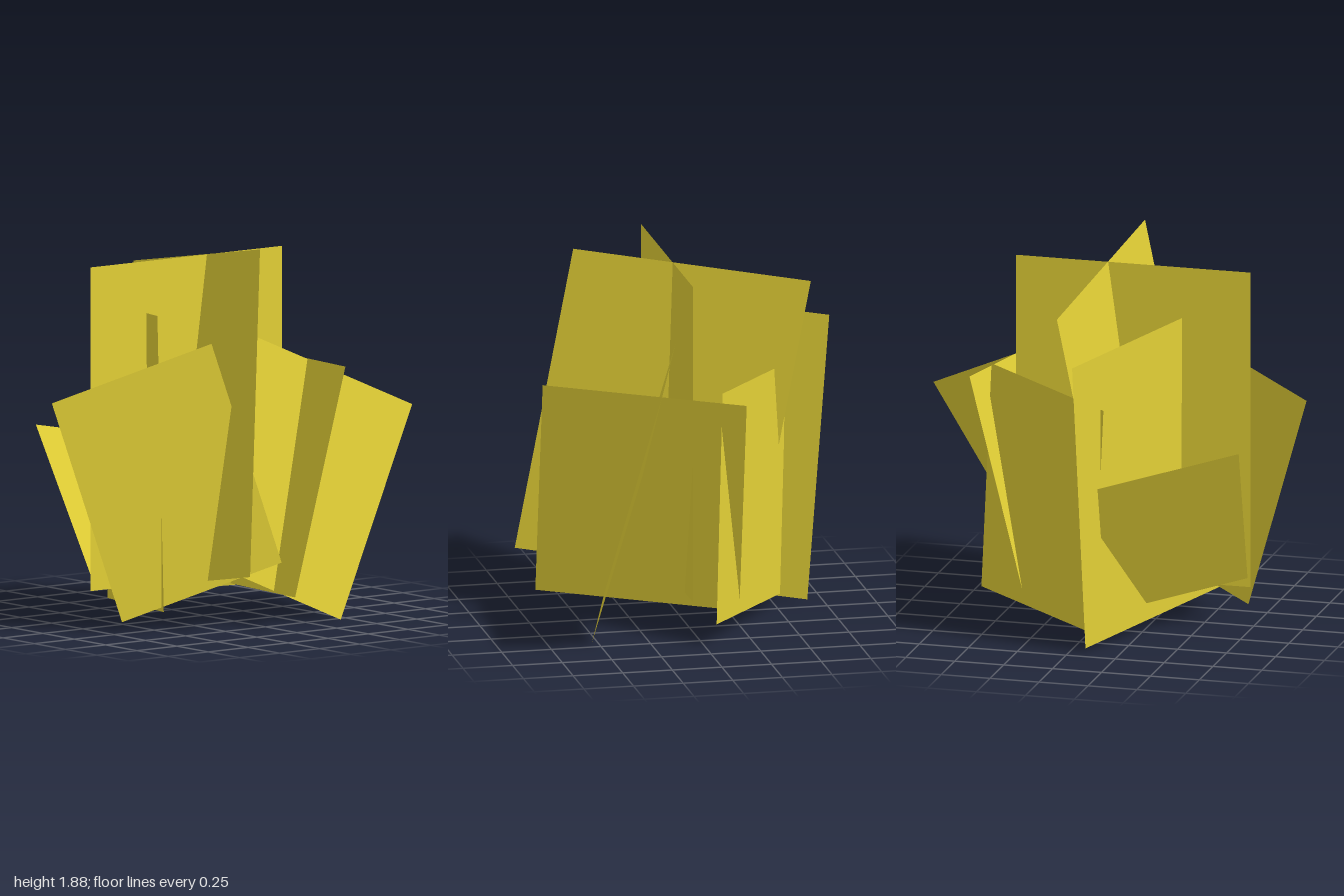
import * as THREE from 'three';

const leafYellow = new THREE.MeshStandardMaterial({ color: 0xe3d036, side: THREE.DoubleSide });
leafYellow.name = 'leafYellow';

// Flat card spanned from its lower corner by a width vector and a height vector
function card(name, corner, width, height) {
  const u = new THREE.Vector3(...width);
  const v = new THREE.Vector3(...height);
  const n = new THREE.Vector3().crossVectors(u, v).normalize();
  const geometry = new THREE.PlaneGeometry(1, 1).translate(0.5, 0.5, 0);
  geometry.applyMatrix4(new THREE.Matrix4().makeBasis(u, v, n).setPosition(...corner));
  const mesh = new THREE.Mesh(geometry, leafYellow);
  mesh.name = name;
  return mesh;
}

export function createModel() {
  const group = new THREE.Group();
  group.name = 'leafClump';

  // Two tall cards crossing in the middle
  group.add(card('tallCentreLeaf', [-0.725, 0.195, 0.03], [1.198, 0, 0], [0, 1.61, 0]));
  group.add(card('tallCrossLeaf', [-0.3, 0.31, 0.76], [0.125, -0.2, -1.17], [0.25, 1.58, -0.24]));

  // Leaning cards around them
  group.add(card('rightFrontLeaf', [-0.666, 0.055, 0.205], [0.76, 0.263, 0.304], [-0.334, 1.103, -0.1336]));
  group.add(card('leftFrontLeaf', [-0.407, 0.428, 0.183], [0.85, -0.422, 0.352], [0.554, 1.007, -0.137]));
  group.add(card('leftSideLeaf', [0.01, 0.177, 0.724], [0.343, -0.07, -0.953], [0.293, 1.125, 0.027]));
  group.add(card('leftBackLeaf', [-0.077, 0.06, -0.528], [0.703, 0.06, 0.473], [-0.064, 1.158, -0.044]));
  group.add(card('rightSideLeaf', [-0.495, 0.103, 0.32], [0.42, -0.08, -0.985], [0.04, 1.458, -0.102]));
  group.add(card('rightBackLeaf', [-0.71, 0.24, 0.03], [0.623, -0.13, -0.353], [-0.06, 0.744, -0.38]));

  return group;
}
